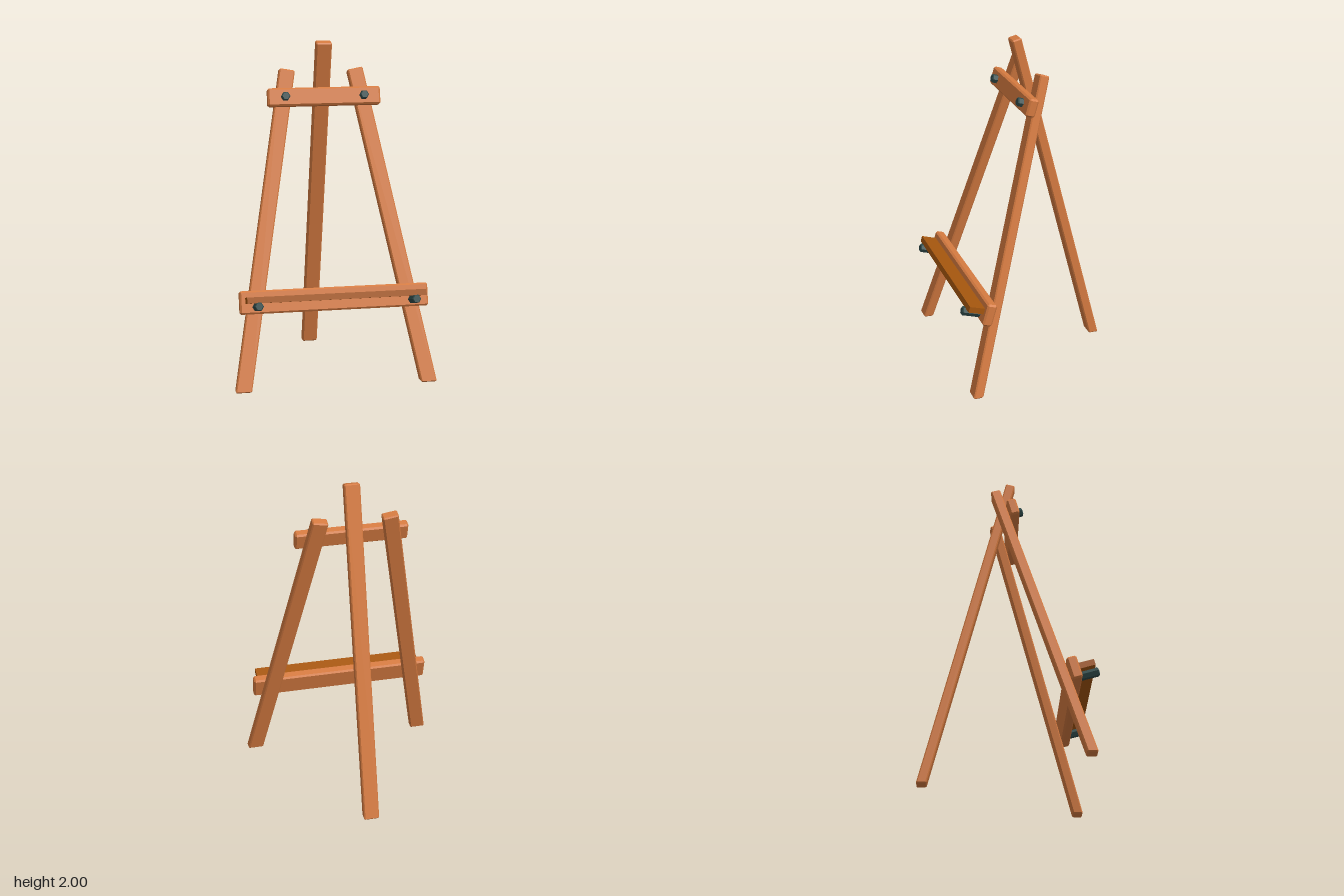
import * as THREE from 'three';
import { ConvexGeometry } from 'three/addons/geometries/ConvexGeometry.js';

const wood = new THREE.MeshStandardMaterial({ color: 0xd47a40 });
wood.name = 'orange wood';
const trayWood = new THREE.MeshStandardMaterial({ color: 0xa5560e });
trayWood.name = 'brown wood';
const metal = new THREE.MeshStandardMaterial({ color: 0x2f4a4a, flatShading: true });
metal.name = 'dark metal';

const FRONT_LEAN = Math.atan(0.289);
const REAR_LEAN = -Math.atan(0.26);
const SPLAY = 0.182;

// Corner points of a box with chamfered edges, centred on the origin
function chamferPoints(w, h, d, c) {
  const half = [w / 2, h / 2, d / 2];
  const points = [];
  for (const sx of [-1, 1]) for (const sy of [-1, 1]) for (const sz of [-1, 1]) {
    for (let axis = 0; axis < 3; axis++) {
      const p = [sx, sy, sz].map((s, i) => s * (half[i] - (i === axis ? 0 : c)));
      points.push(new THREE.Vector3(...p));
    }
  }
  return points;
}

function add(parent, name, geometry, material, x, y, z) {
  const mesh = new THREE.Mesh(geometry, material);
  mesh.name = name;
  mesh.position.set(x, y, z);
  parent.add(mesh);
  return mesh;
}

function plank(w, h, d, c) {
  return new ConvexGeometry(chamferPoints(w, h, d, c));
}

// Leg standing on its origin, square at the top, foot cut level with the floor
function legGeometry(length, lean, splay) {
  const points = chamferPoints(0.094, length, 0.058, 0.007);
  for (const p of points) {
    const lower = p.y < 0;
    p.y += length / 2;
    if (lower) p.y -= (p.x * Math.sin(splay) + p.z * Math.tan(lean)) / Math.cos(splay);
  }
  return new ConvexGeometry(points);
}

// Hexagonal bolt along +z with a chamfered end
function boltGeometry(radius, length) {
  const c = 0.006;
  const profile = [[0, 0], [radius, 0], [radius, length - c], [radius - c, length], [0, length]]
    .map(([x, y]) => new THREE.Vector2(x, y));
  return new THREE.LatheGeometry(profile, 6, Math.PI / 6).rotateX(Math.PI / 2);
}

export function createModel() {
  const easel = new THREE.Group();
  easel.name = 'easel';

  // Leaning front frame: local y runs up the slope, local z faces out of it
  const frame = new THREE.Group();
  frame.name = 'frontFrame';
  frame.position.z = 0.46;
  frame.rotation.x = -FRONT_LEAN;
  easel.add(frame);

  // Cross bars and tray
  add(frame, 'upperBar', plank(0.68, 0.108, 0.058, 0.01), wood, 0, 1.718, 0.058);
  add(frame, 'lowerBar', plank(1.126, 0.137, 0.06, 0.01), wood, 0, 0.516, 0.058);
  add(frame, 'tray', new THREE.BoxGeometry(1.062, 0.036, 0.1), trayWood, 0, 0.527, 0.132);

  // Front legs, upper bolts and the pegs under the tray
  for (const [side, s] of [['left', 1], ['right', -1]]) {
    const leg = add(frame, side + 'FrontLeg', legGeometry(1.925, FRONT_LEAN, s * SPLAY), wood, s * 0.555, 0, 0);
    leg.rotation.z = s * SPLAY;
    add(frame, side + 'UpperBolt', boltGeometry(0.027, 0.06), metal, s * 0.237, 1.718, 0.061);
    add(frame, side + 'TrayPeg', boltGeometry(0.027, 0.13), metal, s * 0.465, 0.489, 0.07);
  }

  // Rear leg
  const rear = add(easel, 'rearLeg', legGeometry(2.058, REAR_LEAN, 0), wood, 0, 0, -0.485);
  rear.rotation.x = -REAR_LEAN;

  return easel;
}
